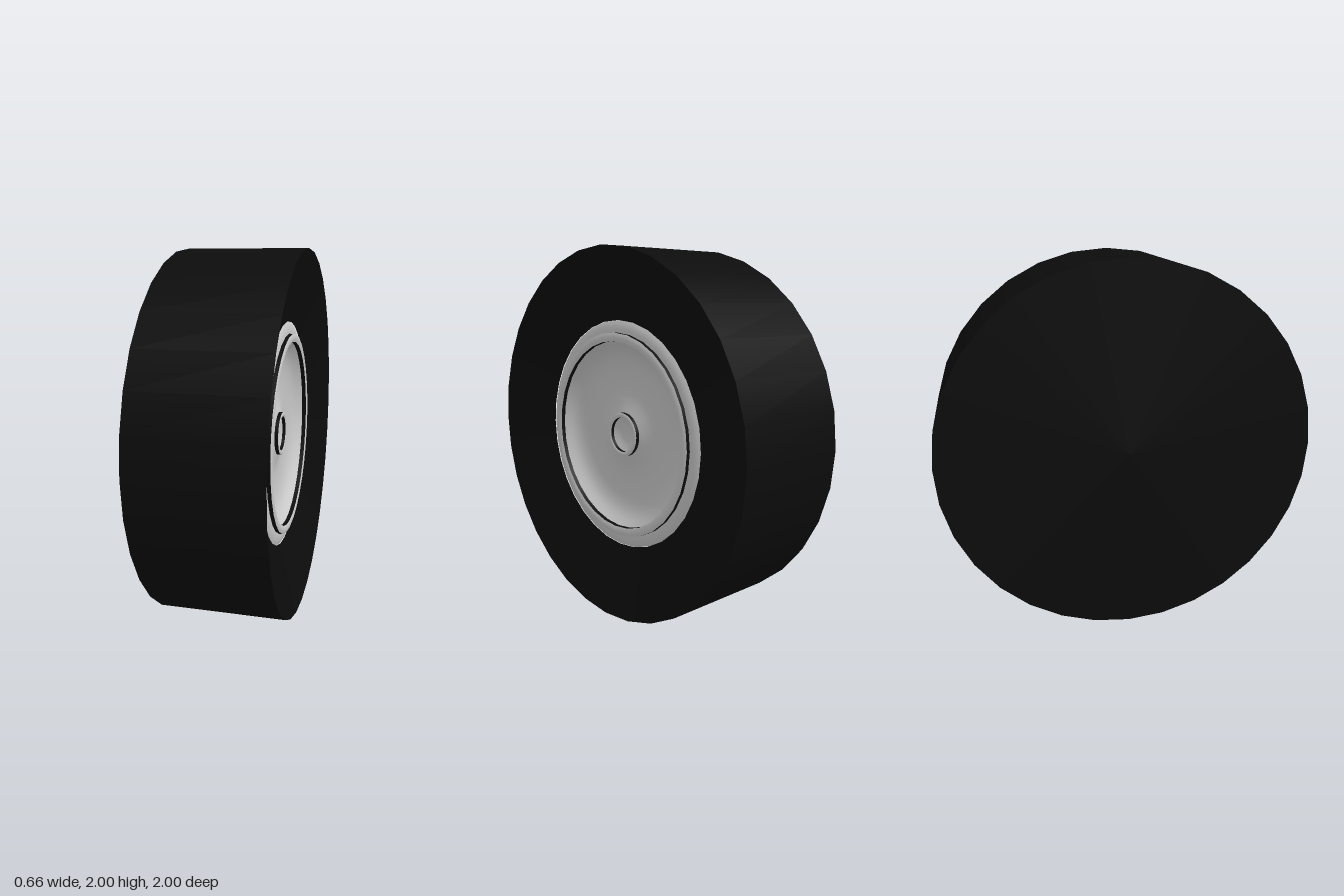
import * as THREE from 'three';

const SIDES = 32;
const rubber = new THREE.MeshStandardMaterial({ color: 0x0c0c0c });
const metal = new THREE.MeshStandardMaterial({ color: 0xcccccc });

// Ring turned from a [radius, offset along the axle] profile
function turned(name, profile, material) {
  const points = profile.map(([r, a]) => new THREE.Vector2(r, a));
  const mesh = new THREE.Mesh(new THREE.LatheGeometry(points, SIDES), material);
  mesh.name = name;
  return mesh;
}

// Smooth curve through a few profile points
function smooth(points, steps) {
  const curve = new THREE.SplineCurve(points.map(([r, a]) => new THREE.Vector2(r, a)));
  return curve.getPoints(steps).map((p) => [Math.max(p.x, 0), p.y]);
}

export function createModel() {
  const wheel = new THREE.Group();
  wheel.name = 'wheel';

  // Tyre: closed inner face, flat tread, dished outer sidewall
  const tyre = new THREE.Group();
  tyre.name = 'tyre';
  tyre.add(
    turned('innerFace', [[0, -0.33], [1, -0.33]], rubber),
    turned('tread', [[1, -0.33], [1, 0.33]], rubber),
    turned('sidewall', [[1, 0.33], [0.62, 0.22]], rubber),
  );

  // Rim: sloped flange, rounded lip and concave dish
  const rim = new THREE.Group();
  rim.name = 'rim';
  rim.add(
    turned('flange', smooth([[0.62, 0.215], [0.59, 0.227], [0.555, 0.23]], 4), metal),
    turned('lip', smooth([[0.555, 0.25], [0.533, 0.256], [0.51, 0.25]], 4), metal),
    turned('dish', smooth([[0.51, 0.227], [0.45, 0.185], [0.36, 0.162], [0.22, 0.158], [0.12, 0.18]], 12), metal),
  );

  // Hub: raised collar with a shallow cup
  const hub = new THREE.Group();
  hub.name = 'hub';
  hub.add(
    turned('collar', smooth([[0.12, 0.2], [0.108, 0.204], [0.095, 0.2]], 4), metal),
    turned('cup', smooth([[0.095, 0.182], [0.05, 0.168], [0, 0.164]], 5), metal),
  );

  // Dark grooves along the steps beside the lip and the collar
  const grooves = new THREE.Group();
  grooves.name = 'grooves';
  grooves.add(
    turned('lipOuterGroove', [[0.555, 0.23], [0.555, 0.25]], rubber),
    turned('lipInnerGroove', [[0.51, 0.25], [0.51, 0.227]], rubber),
    turned('collarOuterGroove', [[0.12, 0.18], [0.12, 0.2]], rubber),
    turned('collarInnerGroove', [[0.095, 0.2], [0.095, 0.182]], rubber),
  );

  // Lay the axle along x and stand the wheel on the ground
  wheel.add(tyre, rim, hub, grooves);
  wheel.rotation.z = -Math.PI / 2;
  wheel.position.y = 1;

  const model = new THREE.Group();
  model.name = 'wheelModel';
  model.add(wheel);
  return model;
}
